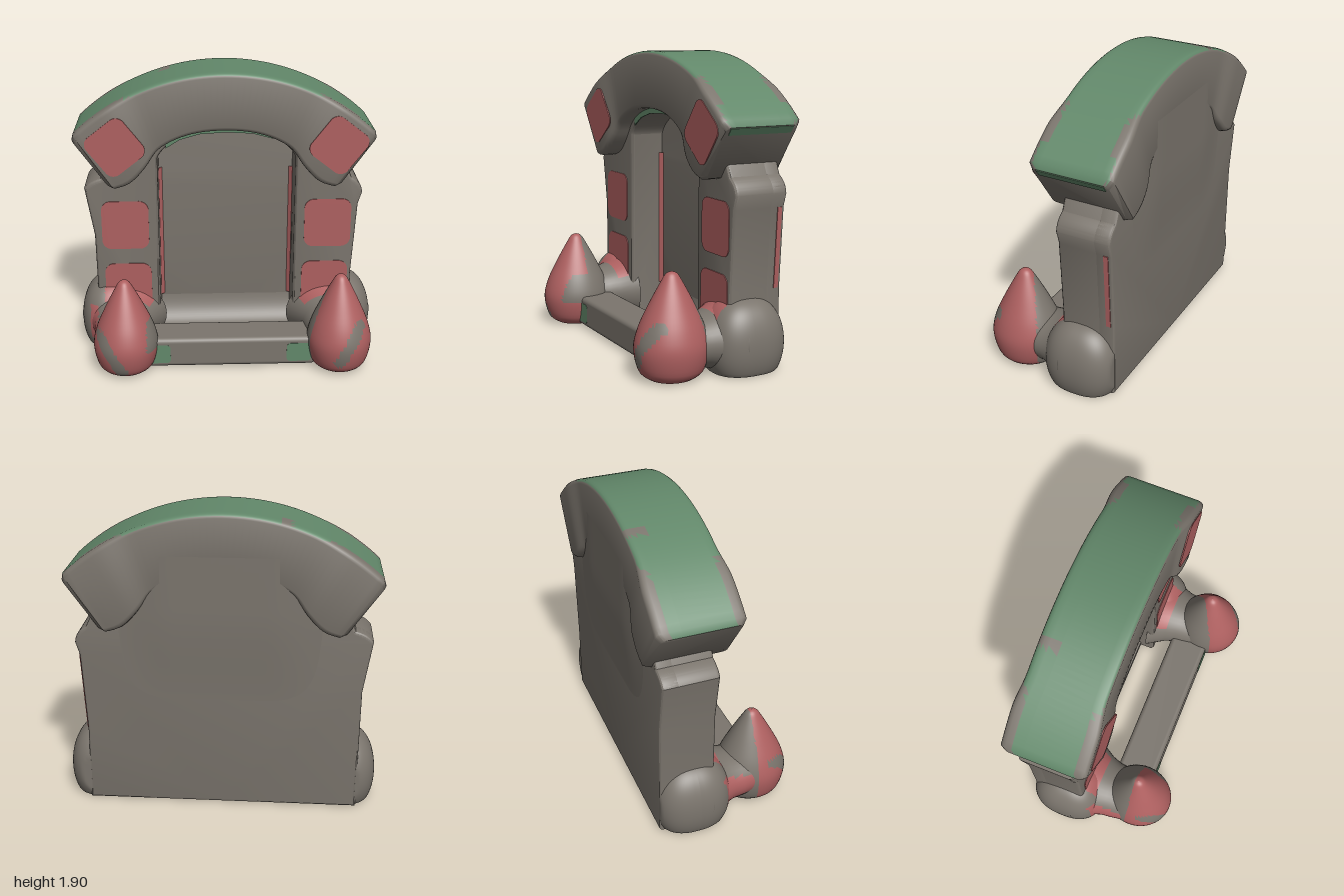
import * as THREE from 'three';
import { toCreasedNormals } from 'three/addons/utils/BufferGeometryUtils.js';
import { RoundedBoxGeometry } from 'three/addons/geometries/RoundedBoxGeometry.js';

const mat = (name, color) => Object.assign(new THREE.MeshStandardMaterial({ color }), { name });
const toV2 = list => list.map(p => new THREE.Vector2(...p));
const { smoothstep, clamp } = THREE.MathUtils;

export function createModel() {
  const stone = mat('stone grey', 0x7b756d);
  const red = mat('brick red', 0xae6060);
  const green = mat('moss green', 0x62886a);
  const model = new THREE.Group();

  const add = (name, geo, material, x = 0, y = 0, z = 0) => {
    const mesh = new THREE.Mesh(geo, material);
    mesh.name = name;
    mesh.position.set(x, y, z);
    model.add(mesh);
    return mesh;
  };

  // Sorts the triangles into two material groups by a rule on their centre
  const paint = (geo, rule) => {
    const p = geo.attributes.position, idx = geo.index.array, lists = [[], []];
    const c = new THREE.Vector3(), v = new THREE.Vector3();
    for (let i = 0; i < idx.length; i += 3) {
      const tri = [idx[i], idx[i + 1], idx[i + 2]];
      c.set(0, 0, 0);
      tri.forEach(k => c.add(v.fromBufferAttribute(p, k)));
      lists[rule(c.divideScalar(3)) ? 1 : 0].push(...tri);
    }
    geo.setIndex([...lists[0], ...lists[1]]);
    geo.clearGroups();
    geo.addGroup(0, lists[0].length, 0);
    geo.addGroup(lists[0].length, lists[1].length, 1);
    return geo;
  };

  // Moves every vertex by a rule
  const reshape = (geo, rule) => {
    const p = geo.attributes.position, v = new THREE.Vector3();
    for (let i = 0; i < p.count; i++) {
      rule(v.fromBufferAttribute(p, i));
      p.setXYZ(i, v.x, v.y, v.z);
    }
    geo.computeVertexNormals();
    return geo;
  };

  // Extrudes a shape between two depths with rounded edges inside its outline
  const slab = (shape, z0, z1, bevel) => {
    const geo = new THREE.ExtrudeGeometry(shape, {
      depth: z1 - z0 - 2 * bevel, bevelThickness: bevel, bevelSize: bevel,
      bevelOffset: -bevel, bevelSegments: 3, curveSegments: 16,
    });
    return toCreasedNormals(geo.translate(0, 0, z0 + bevel), 0.5);
  };

  // Outer outline of the body, from the right foot up over the top to the left foot
  const outline = (s) => {
    [[0.84, 0.01], [0.84, 0.5], [0.87, 1.0], [0.895, 1.08]].forEach(p => s.lineTo(...p));
    s.quadraticCurveTo(0.89, 1.15, 0.82, 1.19);
    s.lineTo(0.72, 1.4);
    s.quadraticCurveTo(0.4, 1.72, 0, 1.74);
    s.quadraticCurveTo(-0.4, 1.72, -0.72, 1.4);
    s.lineTo(-0.82, 1.2);
    s.quadraticCurveTo(-0.9, 1.18, -0.93, 1.13);
    s.lineTo(-0.875, 0.8);
    s.lineTo(-0.865, 0.01);
    return s;
  };

  // Back wall closing the alcove, swelling smoothly into the back of the arch
  const wall = new THREE.Shape();
  wall.moveTo(0, 0.01);
  add('backWall', slab(outline(wall), -0.43, -0.31, 0.02), stone);
  const swellGeo = new THREE.PlaneGeometry(1.4, 1.05, 30, 24).rotateY(Math.PI).translate(0, 1.125, 0);
  add('backSwell', reshape(swellGeo, v => {
    v.z = -0.428 - 0.029 * smoothstep(v.y, 0.62, 1.3) * (1 - smoothstep(Math.abs(v.x), 0.3, 0.68));
  }), stone);

  // Pillars and the arched opening between them
  const frame = new THREE.Shape();
  frame.moveTo(0.45, 0.01);
  outline(frame);
  frame.lineTo(-0.45, 0.01);
  frame.lineTo(-0.45, 1.33);
  frame.bezierCurveTo(-0.4, 1.44, -0.25, 1.505, 0, 1.505);
  frame.bezierCurveTo(0.25, 1.505, 0.4, 1.44, 0.45, 1.33);
  add('pillarFrame', slab(frame, -0.42, -0.07, 0.025), stone);

  // Hollowed floor curving up into the back wall
  const cove = new THREE.Shape(toV2([[0.33, 0.01], [0.17, 0.01], [0.17, 0.06]]));
  cove.quadraticCurveTo(0.3, 0.08, 0.315, 0.3);
  const coveGeo = new THREE.ExtrudeGeometry(cove, { depth: 1, bevelEnabled: false, curveSegments: 16 });
  add('alcoveFloor', toCreasedNormals(coveGeo.rotateY(Math.PI / 2).translate(-0.5, 0, 0), 0.5), stone);

  // Moss lining under the arch
  const edge = [[-0.394, 1.402], [-0.3, 1.46], [-0.17, 1.496], [0, 1.506], [0.17, 1.496], [0.3, 1.46]];
  const lining = new THREE.Shape(toV2([...edge, ...edge.map(([x, y]) => [x, y + 0.06]).reverse()]));
  add('archMoss', new THREE.ExtrudeGeometry(lining, { depth: 0.008, bevelEnabled: false }), green, 0, 0, -0.074);

  // Arch lofted from rounded cross-sections, thicker at both end blocks
  const half = [[0.73, 1.16], [0.61, 1.2], [0.51, 1.3], [0.42, 1.42], [0.24, 1.51]];
  const inner = new THREE.CatmullRomCurve3([
    ...half.map(([x, y]) => new THREE.Vector3(-x, y, 0)), new THREE.Vector3(0, 1.54, 0),
    ...half.slice().reverse().map(([x, y]) => new THREE.Vector3(x, y, 0))]);
  const ring = [];
  for (let q = 0; q < 4; q++) {
    for (let k = 0; k < 4; k++) {
      const a = (q + k / 3) * Math.PI / 2;
      const cz = (q === 0 || q === 3) ? 1 : -1, cr = q < 2 ? 1 : -1;
      ring.push([cz * 0.86 + 0.14 * Math.cos(a), cr * 0.86 + 0.14 * Math.sin(a)]);
    }
    if (q === 0) ring.push([0.72, 1], [-0.45, 1], [-0.72, 1]);
  }
  const N = 48, K = ring.length, pos = [], index = [];
  for (let i = 0; i <= N + 2; i++) {
    const isCap = i === 0 || i === N + 2;
    const u = isCap ? Math.sign(i) : clamp((i - 1) / N, 0, 1) * 0.97 + 0.015;
    const a = (u * 2 - 1) * 0.775, lo = inner.getPointAt(u);
    const hiX = 1.4 * Math.sin(a), hiY = 0.51 + 1.4 * Math.cos(a);
    const depth = (0.245 + 0.025 * smoothstep(Math.abs(u - 0.5), 0.26, 0.38)) * (isCap ? 0.9 : 1);
    for (const [z, r] of ring) {
      const t = (isCap ? r * 0.9 : r) / 2 + 0.5;
      pos.push(lo.x + (hiX - lo.x) * t - 0.015, lo.y + (hiY - lo.y) * t, -0.21 + z * depth);
    }
  }
  for (let i = 0; i < N + 2; i++) {
    for (let j = 0; j < K; j++) {
      const a = i * K + j, d = i * K + (j + 1) % K;
      index.push(a, a + K, d + K, a, d + K, d);
    }
  }
  const last = (N + 2) * K;
  for (let j = 1; j < K - 1; j++) index.push(0, j, j + 1, last, last + j + 1, last + j);
  const arch = new THREE.BufferGeometry();
  arch.setAttribute('position', new THREE.Float32BufferAttribute(pos, 3));
  arch.setIndex(index);
  // Moss on top, worn away along the end edges and in one notch at the back
  paint(arch, c => {
    const worn = c.x < -0.66 || (c.x > 0.6 && c.x < 0.84), off = c.z + 0.21;
    const notch = Math.abs(c.x + 0.4) < 0.028 && off < -0.11;
    return Math.hypot(c.x + 0.015, c.y - 0.51) > 1.385 && Math.abs(off) < (worn ? 0.2 : 0.24) && !notch;
  });
  add('arch', toCreasedNormals(arch, 0.8), [stone, green]);
  add('archEndMoss', new THREE.BoxGeometry(0.008, 0.05, 0.43), green, 0.934, 1.468, -0.21).rotation.z = -0.62;

  // Thin painted panels with rounded corners
  const panel = (name, material, x, y, z, w, h, turn = 0) => {
    const s = new THREE.Shape(), a = w / 2, b = h / 2, r = Math.min(a, b) * 0.4;
    s.absarc(a - r, b - r, r, 0, Math.PI / 2);
    s.absarc(r - a, b - r, r, Math.PI / 2, Math.PI);
    s.absarc(r - a, r - b, r, Math.PI, Math.PI * 1.5);
    s.absarc(a - r, r - b, r, Math.PI * 1.5, Math.PI * 2);
    const geo = new THREE.ExtrudeGeometry(s, { depth: 0.008, bevelEnabled: false });
    add(name, geo, material, x, y, z).rotation.z = turn;
  };
  for (const s of [-1, 1]) {
    panel('archBrick', red, s * 0.71, 1.45, 0.056, 0.3, 0.31, -s * 0.66);
    panel('upperBrick', red, s * 0.67, 0.875, -0.073, 0.31, 0.335);
    panel('lowerBrick', red, s * 0.66, 0.41, -0.073, 0.31, 0.38);
    panel('sillMoss', green, s * 0.46, 0.115, 0.304, 0.16, 0.13);
    // Narrow red line down each rear corner of the alcove
    const stripe = new THREE.BoxGeometry(0.032, 0.93, 0.008);
    add('cornerStripe', stripe, red, s * 0.441, 0.73, -0.3).rotation.y = -s * Math.PI / 4;
  }
  add('sideStripe', new THREE.BoxGeometry(0.008, 0.5, 0.03), red, 0.856, 0.75, -0.392).rotation.z = -0.06;
  add('footMoss', new THREE.BoxGeometry(0.14, 0.008, 0.2), green, 0.85, 0.01, -0.2);

  // Sill bar standing free in front of the opening
  add('sill', new RoundedBoxGeometry(1.14, 0.2, 0.26, 3, 0.03), stone, 0, 0.12, 0.18);

  // Teardrop profile, and a grey streak across its front
  const profile = new THREE.SplineCurve(toV2([[0.14, 0.01], [0.2, 0.06], [0.23, 0.19], [0.205, 0.31],
    [0.14, 0.45], [0.07, 0.58], [0.035, 0.635], [0.001, 0.65]])).getPoints(32);
  const base = toV2([[0, 0.01], [0.139, 0.01]]);
  const streak = new THREE.Line3(new THREE.Vector3(-0.04, 0.12, 0), new THREE.Vector3(0.09, 0.34, 0));
  const near = new THREE.Vector3(), flat = new THREE.Vector3();
  const power = (v, e) => Math.sign(v) * Math.abs(v) ** e;
  // The lower bricks run on over the feet, with one red patch on the outer right foot
  const brick = c => (Math.abs(c.x) > 0.51 && Math.abs(c.x) < 0.82 && c.y > 0.24 && c.y < 0.6
    && c.z > -0.12 && c.z < 0.01) || (c.x < -0.86 && c.x > -0.92 && c.y > 0.08 && c.y < 0.33 && c.z > -0.12);
  for (const s of [-1, 1]) {
    // Swollen foot, flat below and behind
    const foot = reshape(new THREE.SphereGeometry(1, 64, 48), v => v.set(
      s * 0.775 + 0.215 * power(v.x, 0.8),
      Math.max(0.01, 0.18 + 0.28 * power(v.y, 0.95)),
      Math.max(-0.427, -0.2 + 0.25 * power(v.z, 0.8))));
    add('foot', paint(foot, brick), [stone, red]);

    // Broad neck joining the foot to the drop
    const neck = new THREE.LatheGeometry(toV2([[0.24, -0.12], [0.215, -0.07], [0.18, 0],
      [0.16, 0.07], [0.155, 0.13], [0.14, 0.24]]), 40);
    neck.rotateX(Math.PI / 2).scale(1.2, 1, 1).translate(s * 0.7, 0.2, 0);
    reshape(neck, v => v.setY(Math.max(v.y, 0.04)));
    add('footNeck', paint(neck, brick), [stone, red]);

    // Teardrop, red with grey at the back and in the streak
    const drop = new THREE.LatheGeometry([...base, ...profile], 56);
    drop.scale(0.91, s > 0 ? 1 : 0.97, 1);
    paint(drop, c => {
      flat.set(s > 0 ? c.x - 0.02 : -c.x - 0.06, s > 0 ? c.y : c.y + 0.05, 0);
      streak.closestPointToPoint(flat, true, near);
      const front = s > 0 ? c.z + 0.7 * c.x > -0.06 : c.z > -0.02;
      const innerPatch = s < 0 && c.x > 0.14 && c.y > 0.18 && c.y < 0.36;
      return front && !innerPatch && !(c.z > 0.05 && near.distanceTo(flat) < 0.038);
    });
    add('teardrop', drop, [stone, red], s > 0 ? 0.725 : -0.67, 0, 0.26);
  }
  return model;
}
